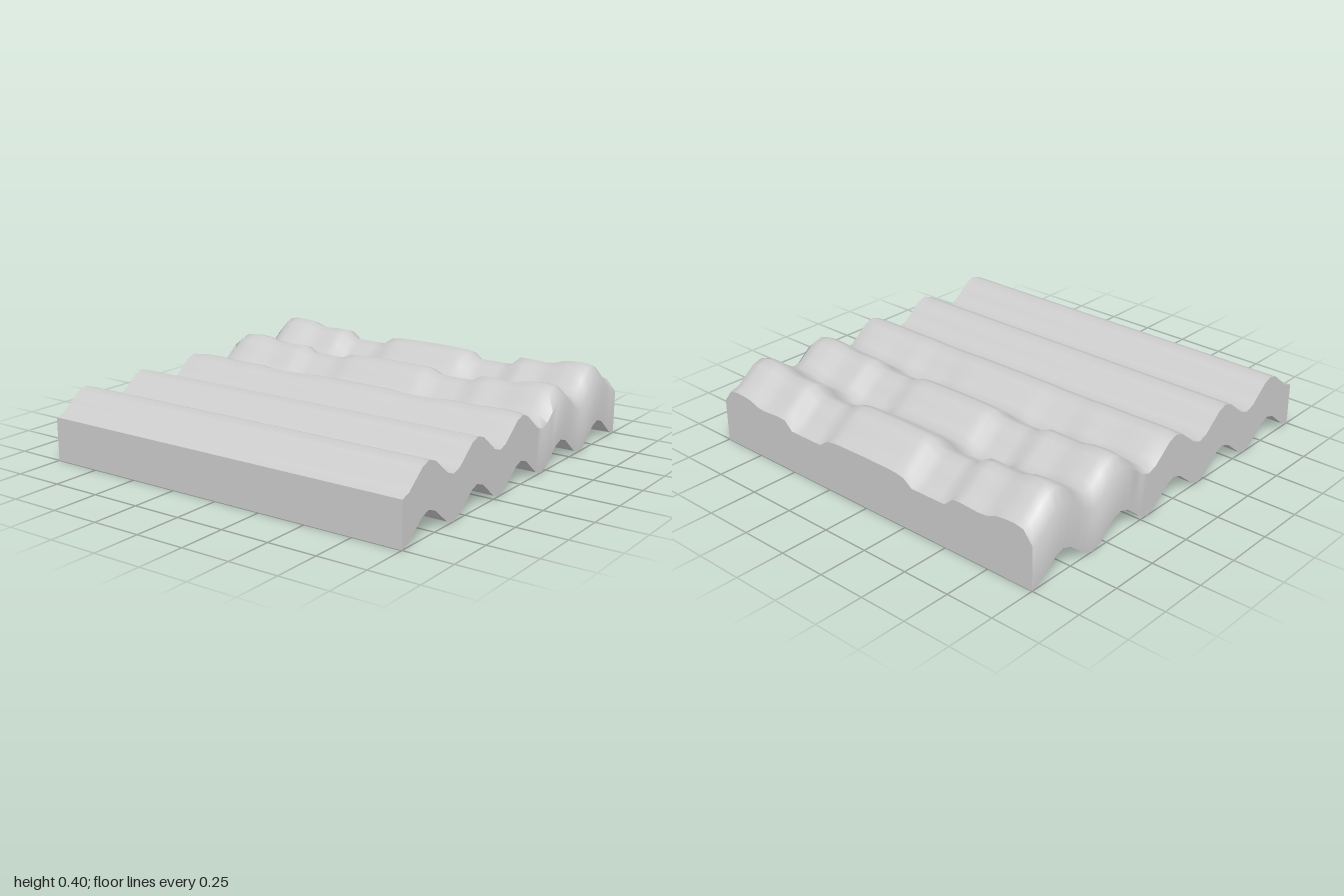
import * as THREE from 'three';
import { mergeVertices, toCreasedNormals } from 'three/addons/utils/BufferGeometryUtils.js';

const WAVE = 0.115;   // height of the corrugation
const THICK = 0.22;   // thickness of the slab

// Height of the raised relief along z (mirrored about z = 0)
const reliefZ = [
  [0, 0.048], [0.15, 0.046], [0.2, 0.044], [0.25, 0.035], [0.3, 0], [0.5, 0],
  [0.55, 0.044], [0.6, 0.046], [0.7, 0.04], [0.75, 0.045], [0.8, 0.064],
  [0.85, 0.07], [0.9, 0.072], [0.95, 0.062], [1, 0],
];
// Strength of the relief along x, fading out towards the plain half
const fadeX = [
  [-0.2, 0], [-0.1, 0.03], [0, 0.1], [0.1, 0.24], [0.2, 0.41], [0.3, 0.53],
  [0.4, 0.64], [0.5, 0.78], [0.6, 0.9], [0.8, 0.95], [1, 1],
];

// Straight interpolation through a list of points
function sample(points, t) {
  if (t <= points[0][0]) return points[0][1];
  for (let i = 1; i < points.length; i++) {
    const [a, va] = points[i - 1], [b, vb] = points[i];
    if (t <= b) return va + ((vb - va) * (t - a)) / (b - a);
  }
  return points[points.length - 1][1];
}

const wave = (x) => (WAVE / 2) * (1 + Math.cos((x * Math.PI * 2) / 0.4));

export function createModel() {
  const group = new THREE.Group();
  group.name = 'corrugatedPanel';

  // A finely divided box, its top and bottom shaped by the wave and relief
  let geometry = new THREE.BoxGeometry(2, 1, 2, 40, 1, 40);
  geometry.deleteAttribute('normal');
  geometry.deleteAttribute('uv');
  const pos = geometry.attributes.position;
  for (let i = 0; i < pos.count; i++) {
    const x = Math.round(pos.getX(i) * 20) / 20;
    const z = Math.round(pos.getZ(i) * 20) / 20;
    let y = wave(x);
    if (pos.getY(i) > 0) y += THICK + sample(fadeX, x) * sample(reliefZ, Math.abs(z));
    pos.setXYZ(i, x, y, z);
  }
  geometry = toCreasedNormals(mergeVertices(geometry), THREE.MathUtils.degToRad(62));

  const grey = new THREE.MeshStandardMaterial({ color: 0xcccccc });
  grey.name = 'plainGrey';
  const panel = new THREE.Mesh(geometry, grey);
  panel.name = 'wavyPanel';
  group.add(panel);
  return group;
}
